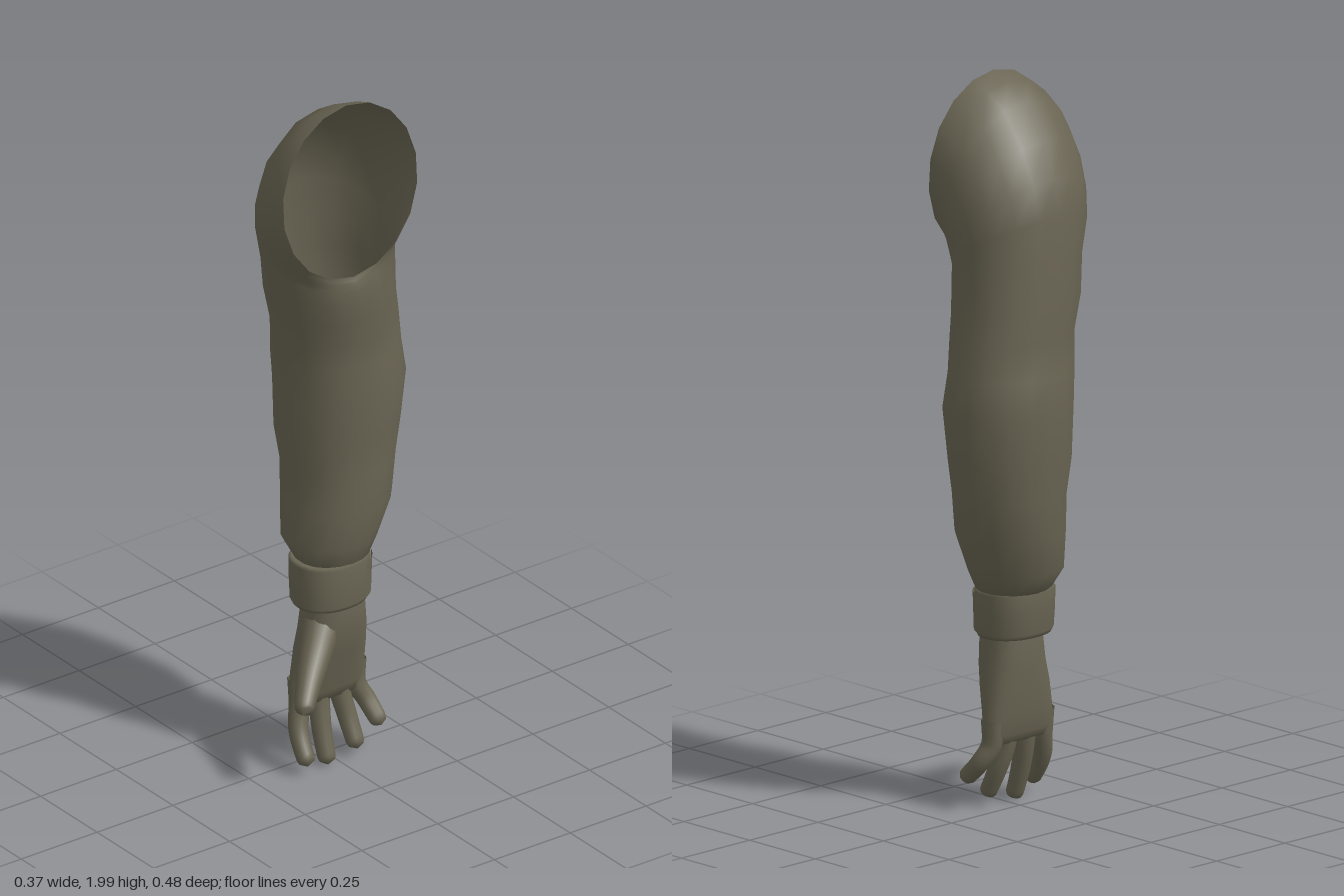
import * as THREE from 'three';
import { mergeVertices } from 'three/addons/utils/BufferGeometryUtils.js';

const cloth = new THREE.MeshStandardMaterial({ color: 0x6a6553, side: THREE.DoubleSide });
cloth.name = 'olive drab';

// Skin through tilted ovals: [outer x, outer y, inner x, inner y, back z, front z]
function loft(sections, seg = 18, power = 1) {
  const pos = [], index = [];
  const bulge = (v) => Math.sign(v) * Math.pow(Math.abs(v), power);
  sections.forEach(([ox, oy, ix, iy, z0, z1]) => {
    for (let i = 0; i < seg; i++) {
      const t = (i / seg) * Math.PI * 2;
      const c = bulge(Math.cos(t)), s = bulge(Math.sin(t));
      pos.push((ox + ix) / 2 + c * (ox - ix) / 2, (oy + iy) / 2 + c * (oy - iy) / 2,
        (z0 + z1) / 2 + s * (z1 - z0) / 2);
    }
  });
  for (let r = 0; r < sections.length - 1; r++) {
    for (let i = 0; i < seg; i++) {
      const j = (i + 1) % seg;
      const a = r * seg + i, b = r * seg + j, c = a + seg, d = b + seg;
      index.push(a, c, b, b, c, d);
    }
  }
  const g = new THREE.BufferGeometry();
  g.setAttribute('position', new THREE.Float32BufferAttribute(pos, 3));
  g.setIndex(index);
  g.computeVertexNormals();
  return g;
}

// Tapered tube with a rounded tip
function digit(points, r0, r1) {
  const n = 24, sides = 10;
  const curve = new THREE.CatmullRomCurve3(points.map((p) => new THREE.Vector3(...p)));
  const g = new THREE.TubeGeometry(curve, n, 1, sides, false);
  const p = g.attributes.position, v = new THREE.Vector3(), length = curve.getLength();
  for (let i = 0; i <= n; i++) {
    const u = i / n, centre = curve.getPointAt(u);
    const left = Math.min(1, (1 - u) * length / r1);
    const radius = (r0 + (r1 - r0) * u) * Math.sqrt(Math.max(0.0004, 1 - (1 - left) ** 2));
    for (let j = 0; j <= sides; j++) {
      const k = i * (sides + 1) + j;
      v.fromBufferAttribute(p, k).sub(centre).multiplyScalar(radius).add(centre);
      p.setXYZ(k, v.x, v.y, v.z);
    }
  }
  g.deleteAttribute('uv');
  g.deleteAttribute('normal');
  const merged = mergeVertices(g, 1e-5);
  merged.computeVertexNormals();
  return merged;
}

export function createModel() {
  const group = new THREE.Group();
  group.name = 'arm';
  const add = (name, geometry) => {
    const mesh = new THREE.Mesh(geometry, cloth);
    mesh.name = name;
    group.add(mesh);
    return mesh;
  };

  // Sleeve: open at the shoulder, turning from a sideways to a level section
  add('sleeve', loft([
    [0.115, 2.0, 0.148, 1.5, -0.208, 0.236],
    [0.06, 1.98, 0.15, 1.495, -0.208, 0.24],
    [-0.01, 1.935, 0.153, 1.49, -0.207, 0.238],
    [-0.08, 1.845, 0.156, 1.485, -0.206, 0.23],
    [-0.13, 1.75, 0.159, 1.475, -0.204, 0.215],
    [-0.155, 1.655, 0.162, 1.46, -0.196, 0.2],
    [-0.153, 1.54, 0.163, 1.42, -0.196, 0.182],
    [-0.169, 1.43, 0.157, 1.36, -0.203, 0.163],
    [-0.16, 1.32, 0.147, 1.29, -0.216, 0.143],
    [-0.17, 1.22, 0.14, 1.21, -0.23, 0.136],
    [-0.184, 1.13, 0.15, 1.11, -0.243, 0.123],
    [-0.172, 0.98, 0.14, 0.98, -0.228, 0.122],
    [-0.163, 0.88, 0.135, 0.88, -0.21, 0.104],
    [-0.153, 0.78, 0.14, 0.77, -0.192, 0.108],
    [-0.124, 0.665, 0.122, 0.665, -0.15, 0.117],
    [-0.09, 0.612, 0.104, 0.61, -0.122, 0.09],
    [-0.07, 0.6, 0.09, 0.6, -0.1, 0.08],
  ]));

  // Cuff: rounded band turned in at both ends
  add('cuff', loft([
    [-0.05, 0.606, 0.085, 0.606, -0.09, 0.08],
    [-0.074, 0.612, 0.102, 0.61, -0.11, 0.1],
    [-0.081, 0.604, 0.108, 0.602, -0.117, 0.106],
    [-0.078, 0.55, 0.109, 0.55, -0.115, 0.107],
    [-0.07, 0.492, 0.108, 0.49, -0.112, 0.108],
    [-0.064, 0.48, 0.102, 0.478, -0.106, 0.102],
    [-0.045, 0.482, 0.085, 0.482, -0.085, 0.08],
  ], 28, 0.9));

  // Overlapping end of the cuff, a thin curved flap
  const flap = new THREE.CylinderGeometry(1, 0.97, 0.106, 10, 1, true, Math.PI / 2 + 0.5, 0.75);
  flap.scale(0.1, 1, 0.117);
  add('cuffFlap', flap).position.set(0.018, 0.547, -0.005);

  // Palm and wrist
  add('palm', loft([
    [-0.045, 0.52, 0.09, 0.52, -0.09, 0.07],
    [-0.053, 0.46, 0.097, 0.46, -0.096, 0.076],
    [-0.052, 0.4, 0.094, 0.4, -0.103, 0.086],
    [-0.05, 0.34, 0.08, 0.34, -0.11, 0.1],
    [-0.043, 0.27, 0.06, 0.27, -0.116, 0.112],
    [-0.032, 0.215, 0.046, 0.215, -0.121, 0.12],
    [-0.018, 0.19, 0.036, 0.185, -0.116, 0.114],
    [0.005, 0.183, 0.015, 0.178, -0.095, 0.095],
  ], 24, 0.85));

  // Fingers: [name, base z, tip z, tip x, tip y]
  [
    ['indexFinger', 0.09, 0.116, 0.082, 0.034],
    ['middleFinger', 0.027, 0.035, 0.062, 0.006],
    ['ringFinger', -0.041, -0.056, 0.07, 0.028],
    ['littleFinger', -0.094, -0.124, 0.085, 0.083],
  ].forEach(([name, z0, z1, x, y]) => {
    add(name, digit([
      [0.004, 0.26, z0 - 0.002],
      [0.01, 0.19, z0],
      [0.03, (0.2 + y) / 2, (z0 + z1) / 2 + (z1 - z0) * 0.2],
      [x, y, z1],
    ], 0.031, 0.024));
  });

  // Thumb, reaching forward and inward from the palm
  add('thumb', digit([
    [0.03, 0.42, 0.03], [0.072, 0.36, 0.085], [0.115, 0.31, 0.138], [0.172, 0.253, 0.2],
  ], 0.055, 0.024));

  return group;
}
